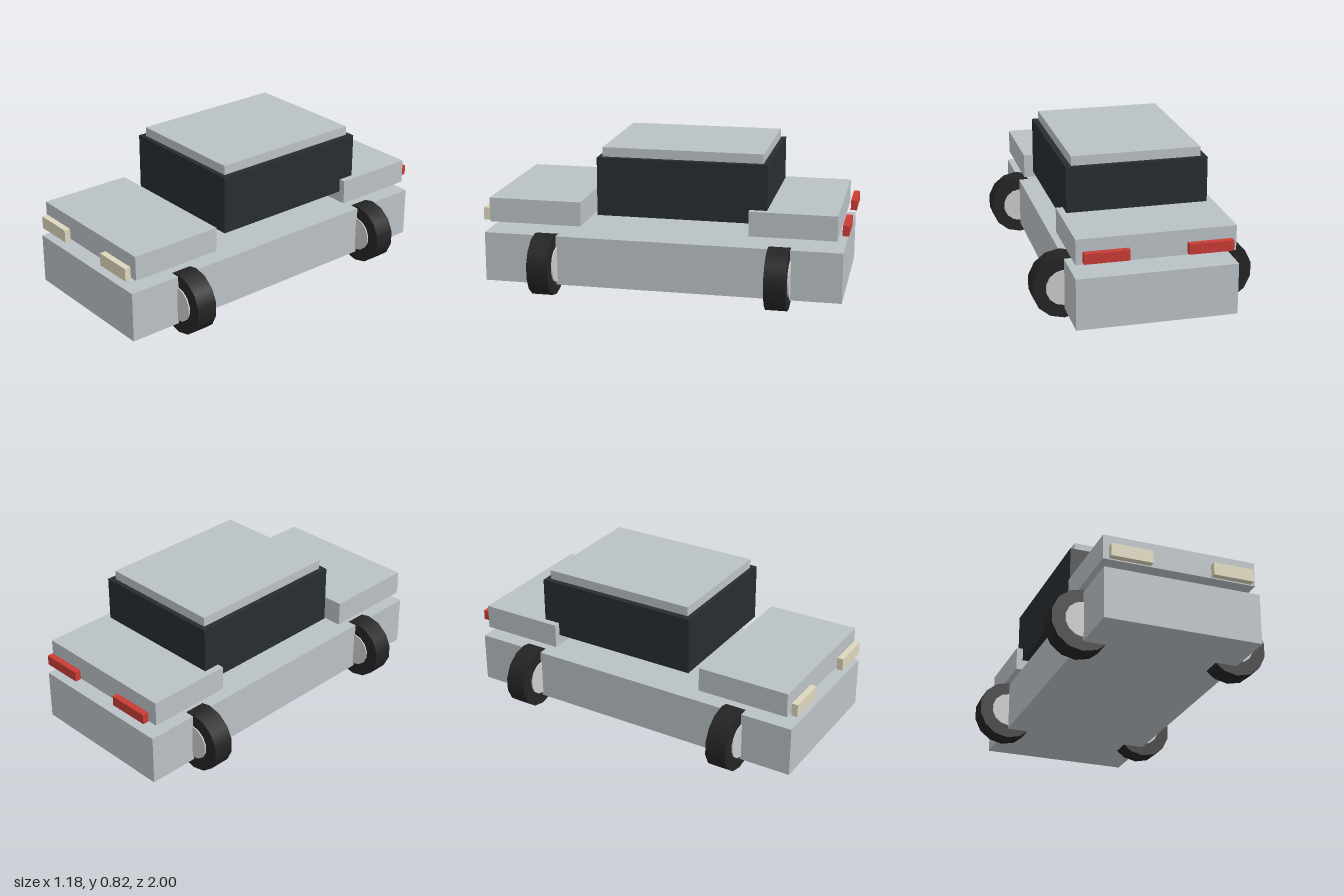
import * as THREE from 'three';

const mat = (color) => new THREE.MeshStandardMaterial({ color });

export function createModel() {
  const car = new THREE.Group();
  car.name = 'car';
  const paint = mat(0xbac1c5), glass = mat(0x262d31), rubber = mat(0x242424);
  const metal = mat(0xcccccc), lamp = mat(0xded7bd), tailRed = mat(0xc93c34);

  // Box given by its extents on each axis
  const box = (name, material, [x0, x1], [y0, y1], [z0, z1]) => {
    const mesh = new THREE.Mesh(new THREE.BoxGeometry(x1 - x0, y1 - y0, z1 - z0), material);
    mesh.position.set((x0 + x1) / 2, (y0 + y1) / 2, (z0 + z1) / 2);
    mesh.name = name;
    car.add(mesh);
  };

  // Body
  box('chassis', paint, [-0.422, 0.422], [0.053, 0.328], [-0.977, 0.987]);
  box('hood', paint, [-0.415, 0.415], [0.39, 0.524], [0.44, 0.955]);
  box('trunk', paint, [-0.415, 0.415], [0.39, 0.524], [-0.943, -0.475]);
  box('cabin', glass, [-0.378, 0.378], [0.45, 0.768], [-0.567, 0.355]);
  box('roof', paint, [-0.346, 0.346], [0.768, 0.819], [-0.54, 0.33]);

  // Disc with its axle along z
  const disc = (name, radius, depth, material) => {
    const mesh = new THREE.Mesh(new THREE.CylinderGeometry(radius, radius, depth, 14), material);
    mesh.rotation.x = Math.PI / 2;
    mesh.name = name;
    return mesh;
  };

  for (const side of [1, -1]) {
    const label = side > 0 ? 'left' : 'right';
    const span = (a, b) => (side > 0 ? [a, b] : [-b, -a]);

    // Lights
    box(label + 'Headlight', lamp, span(0.165, 0.387), [0.39, 0.46], [0.966, 1]);
    box(label + 'TailLight', tailRed, span(0.151, 0.384), [0.412, 0.467], [-1, -0.966]);

    // Wheels
    for (const end of [1, -1]) {
      const wheel = new THREE.Group();
      wheel.name = label + (end > 0 ? 'Front' : 'Rear') + 'Wheel';
      wheel.add(disc('tyre', 0.17, 0.116, rubber), disc('hub', 0.097, 0.13, metal));
      wheel.position.set(side * 0.422, 0.17, end * 0.64);
      car.add(wheel);
    }
  }
  return car;
}
